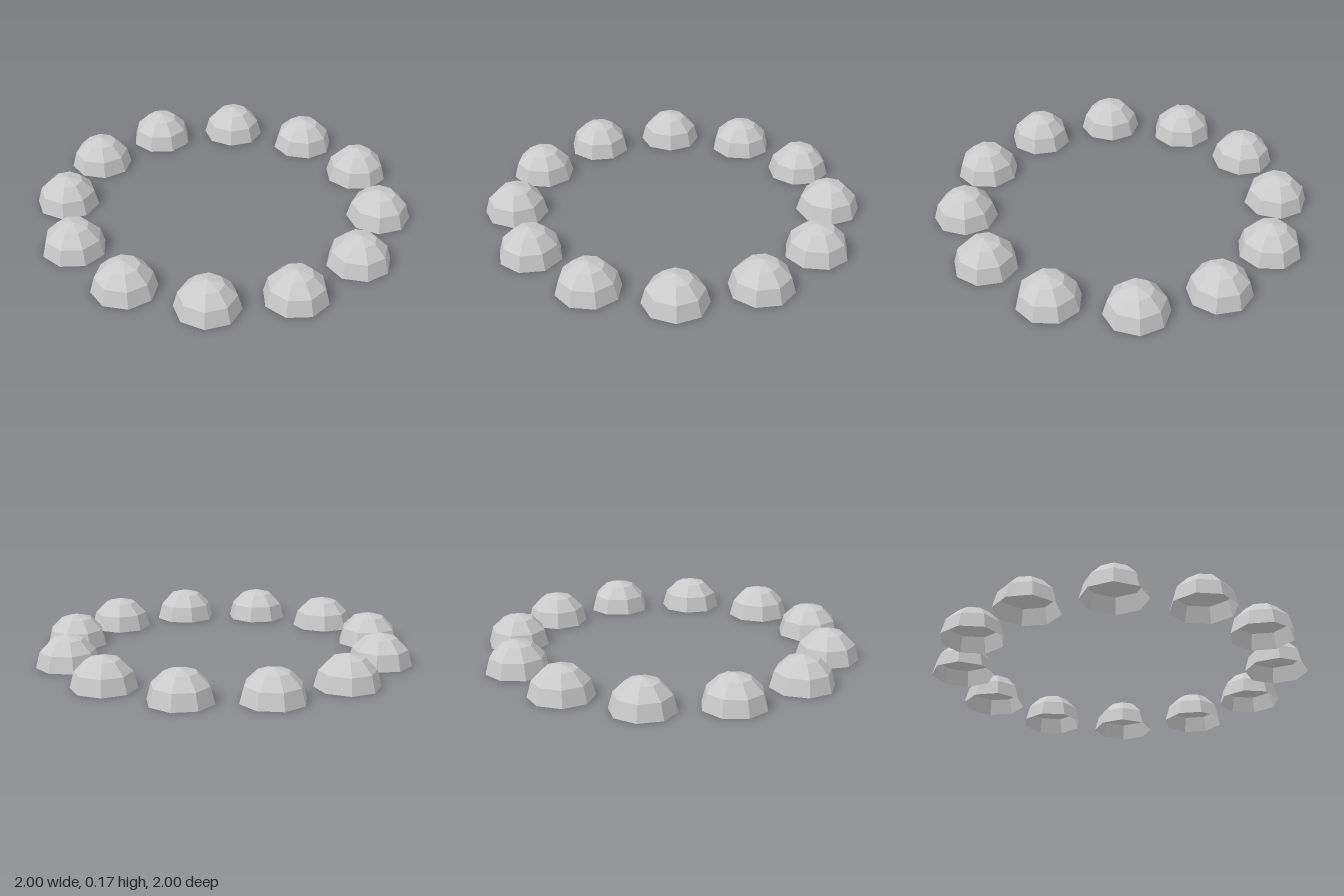
import * as THREE from 'three';

const COUNT = 12;
const RADIUS = 1 / 6;
const RING = 5 / 6;

export function createModel() {
  const model = new THREE.Group();
  model.name = 'domeRing';

  const material = new THREE.MeshStandardMaterial({
    color: 0xcccccc, flatShading: true, side: THREE.DoubleSide,
  });

  // Open half sphere: eight sides, three bands
  const dome = new THREE.SphereGeometry(RADIUS, 8, 3, 0, Math.PI * 2, 0, Math.PI / 2);

  // Domes evenly spaced in a circle, each turned with its position
  for (let i = 0; i < COUNT; i++) {
    const angle = (i / COUNT) * Math.PI * 2;
    const mesh = new THREE.Mesh(dome, material);
    mesh.name = `dome${i + 1}`;
    mesh.position.set(Math.sin(angle) * RING, 0, Math.cos(angle) * RING);
    mesh.rotation.y = angle;
    model.add(mesh);
  }
  return model;
}
